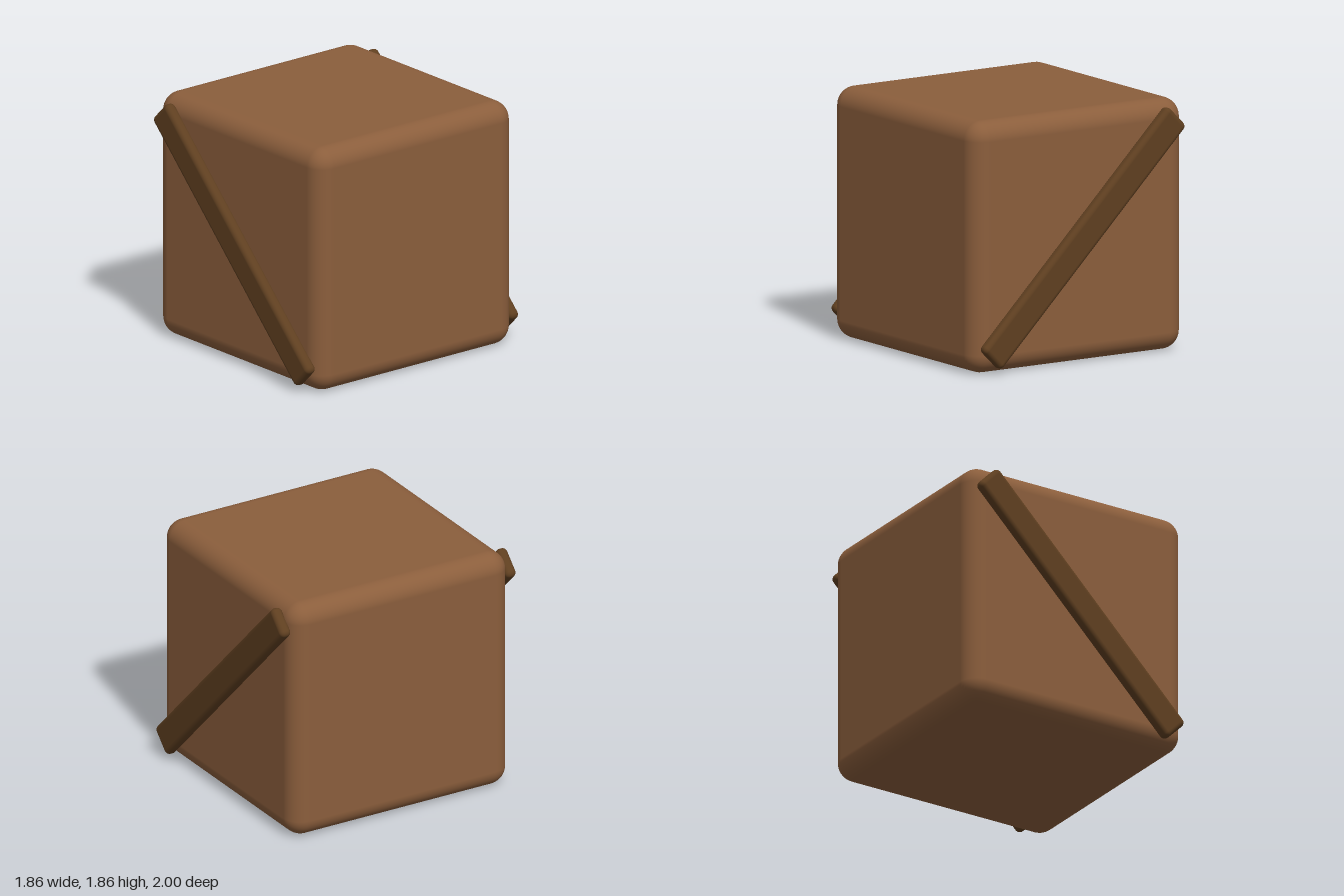
import * as THREE from 'three';
import { RoundedBoxGeometry } from 'three/addons/geometries/RoundedBoxGeometry.js';

export function createModel() {
  const model = new THREE.Group();
  model.name = 'crate';

  const wood = new THREE.MeshStandardMaterial({ color: 0x8b5e3c });
  wood.name = 'wood';
  const darkWood = new THREE.MeshStandardMaterial({ color: 0x5f3f20 });
  darkWood.name = 'dark wood';

  const side = 1.855;

  // Soft-edged cube body
  const body = new THREE.Mesh(new RoundedBoxGeometry(side, side, side, 6, 0.14), wood);
  body.name = 'body';
  body.position.y = side / 2;
  model.add(body);

  // Diagonal braces on the front and back, both falling towards +x
  const braceGeometry = new RoundedBoxGeometry(2.3, 0.23, 0.09, 5, 0.038);
  for (const [name, sign] of [['frontBrace', 1], ['backBrace', -1]]) {
    const brace = new THREE.Mesh(braceGeometry, darkWood);
    brace.name = name;
    brace.position.set(0, side / 2, sign * 0.955);
    brace.rotation.z = -Math.PI / 4;
    model.add(brace);
  }

  return model;
}
